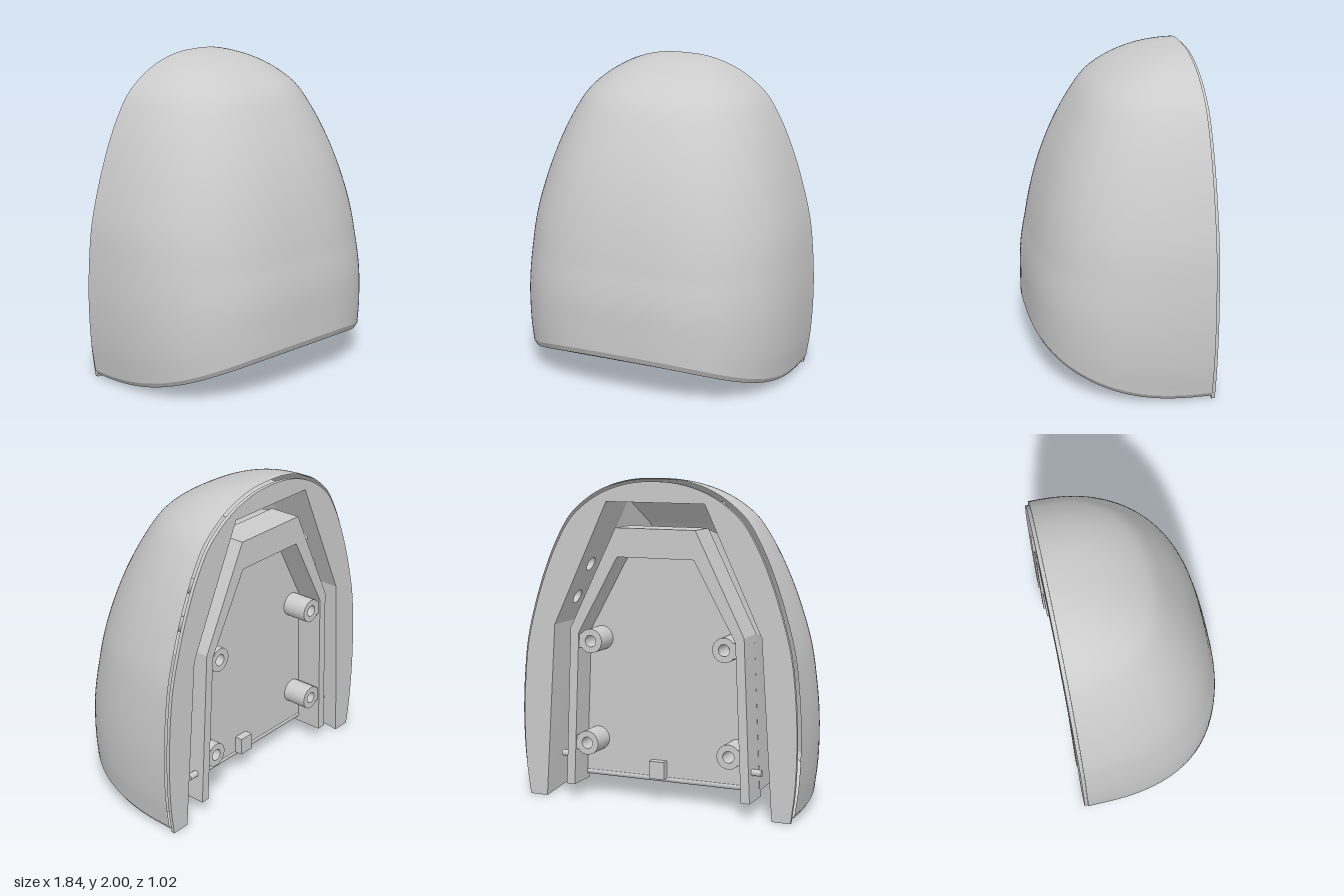
import * as THREE from 'three';

const material = new THREE.MeshStandardMaterial({ color: 0xcccccc, side: THREE.DoubleSide });
const BACK = -0.49;

// Bottom edge height, rising towards the front
const bottomY = z => 0.02 + 0.24 * Math.pow(Math.max(0, z - BACK), 2.5);

function add(parent, name, geometry, x = 0, y = 0, z = 0) {
  const mesh = new THREE.Mesh(geometry, material);
  mesh.name = name;
  mesh.position.set(x, y, z);
  parent.add(mesh);
  return mesh;
}

// Surface through rows of [x, y, z] points
function loft(rows, { flat = false, closed = false, skip = () => false } = {}) {
  const n = rows[0].length;
  const index = [];
  for (let i = 0; i < rows.length - 1; i++) {
    for (let j = 0; j < (closed ? n : n - 1); j++) {
      if (skip(i, j)) continue;
      const a = i * n + j, b = i * n + (j + 1) % n;
      index.push(a, b, b + n, a, b + n, a + n);
    }
  }
  let g = new THREE.BufferGeometry();
  g.setAttribute('position', new THREE.Float32BufferAttribute(rows.flat(2), 3));
  g.setIndex(index);
  if (flat) g = g.toNonIndexed();
  g.computeVertexNormals();
  return g;
}

// Six-point arch mirrored from bottom, middle and top half-widths
const arch = half => [...half, ...half.slice().reverse().map(([x, y]) => [-x, y])];
const shapeOf = pts => new THREE.Shape(pts.map(p => new THREE.Vector2(p[0], p[1])));
const at = (pts, z) => pts.map(([x, y]) => [x, y, z]);
const extrude = (pts, depth) =>
  new THREE.ExtrudeGeometry(shapeOf(pts), { depth, bevelEnabled: false });

// Dome profile: half-width at the back, height, front depth at the centre
const profile = new THREE.CatmullRomCurve3([
  [0.885, 0, 0.51], [0.91, 0.2, 0.51], [0.92, 0.5, 0.505], [0.905, 0.8, 0.475],
  [0.88, 1.0, 0.44], [0.83, 1.2, 0.39], [0.765, 1.4, 0.32], [0.68, 1.6, 0.225],
  [0.585, 1.76, 0.125], [0.49, 1.85, 0.02], [0.38, 1.92, -0.11], [0.25, 1.97, -0.26],
  [0.12, 1.995, -0.4], [0, 2, BACK]
].map(p => new THREE.Vector3(...p)), false, 'centripetal');

function domeRow(p, inset = 0, lift = 0.03) {
  const row = [];
  const n = THREE.MathUtils.lerp(2.9, 2.5, Math.min(1, p.y / 1.7));
  for (let k = 0; k <= 64; k++) {
    const u = Math.PI * k / 64, c = Math.cos(u), s = Math.max(0, Math.sin(u));
    const x = (p.x - inset) * Math.sign(c) * Math.pow(Math.abs(c), 2 / n);
    const z = BACK + (p.z - inset - BACK) * Math.pow(s, 2 / n);
    const base = bottomY(z) + lift;
    const y = p.y < 0.8 ? base + (0.8 - base) * p.y / 0.8 : p.y;
    row.push([x, y, z]);
  }
  return row;
}

export function createModel() {
  const model = new THREE.Group();
  model.name = 'domedHousing';

  // Outer dome
  const samples = profile.getPoints(78);
  const rows = samples.map(p => domeRow(p));
  add(model, 'outerShell', loft(rows));

  // Bevelled lower edge
  const lowRow = domeRow(samples[0], 0.02, 0);
  add(model, 'lowerBevel', loft([rows[0], lowRow]));

  // Cavity sections from the back opening to the inner front
  const opening = [[0.75, 0], [0.68, 1.09], [0.32, 1.855]];
  const sections = [
    at(arch(opening), -0.51),
    at(arch([[0.75, bottomY(-0.2)], ...opening.slice(1)]), -0.2),
    at(arch([[0.72, bottomY(0)], [0.63, 1.05], [0.27, 1.7]]), 0),
    at(arch([[0.35, bottomY(0.3)], [0.34, 0.95], [0.2, 1.35]]), 0.3)
  ];
  add(model, 'cavityWall', loft(sections, {
    flat: true, skip: (i, j) => i === 0 && (j === 1 || j === 3)
  }));
  add(model, 'cavityFront', new THREE.ShapeGeometry(shapeOf(sections[3])), 0, 0, 0.3);

  // Underside between the dome and the cavity
  const plan = lowRow.map(p => [p[0], p[2]]);
  for (const s of sections) plan.push([s[5][0], s[5][2]]);
  for (const s of sections.slice().reverse()) plan.push([s[0][0], s[0][2]]);
  const underside = new THREE.ShapeGeometry(shapeOf(plan));
  const pos = underside.attributes.position;
  for (let i = 0; i < pos.count; i++) {
    const z = pos.getY(i);
    pos.setXYZ(i, pos.getX(i), bottomY(z), z);
  }
  underside.computeVertexNormals();
  add(model, 'underside', underside);

  // Back lip, slightly inside the dome outline
  const lip = samples.map(p => [Math.max(0, p.x - 0.018), p.y * 0.99]);
  const lipOutline = [...lip, ...lip.slice(0, -1).reverse().map(([x, y]) => [-x, y]),
    ...arch(opening).reverse()];
  add(model, 'backLip', extrude(lipOutline, 0.022), 0, 0, -0.512);

  // Slanted cavity walls, each with two round pockets
  for (const side of [1, -1]) {
    const frame = new THREE.Group();
    frame.name = side > 0 ? 'leftSlantedWall' : 'rightSlantedWall';
    const dx = 0.36, dy = -0.765, length = Math.hypot(dx, dy);
    const panel = shapeOf([[0, 0], [length, 0], [length, 0.31], [0, 0.31]]);
    const slope = new THREE.Group();
    slope.position.set(0.32, 1.855, -0.51);
    slope.quaternion.setFromRotationMatrix(new THREE.Matrix4().makeBasis(
      new THREE.Vector3(dx, dy, 0).normalize(), new THREE.Vector3(0, 0, 1),
      new THREE.Vector3(dy, -dx, 0).normalize()));
    for (const t of [0.52, 0.79]) {
      panel.holes.push(new THREE.Path().absarc(t * length, 0.16, 0.045, 0, Math.PI * 2, true));
      const bore = new THREE.CylinderGeometry(0.045, 0.045, 0.1, 24, 1, true).rotateX(Math.PI / 2);
      add(slope, 'pocketWall', bore, t * length, 0.16, -0.05);
      add(slope, 'pocketEnd', new THREE.CircleGeometry(0.045, 24), t * length, 0.16, -0.1);
    }
    add(slope, 'slantedPanel', new THREE.ShapeGeometry(panel, 24));
    frame.add(slope);
    frame.scale.x = side;
    model.add(frame);
  }

  // Inner tray: raised wall, open at the bottom
  const tray = new THREE.Group();
  tray.name = 'innerTray';
  model.add(tray);
  const trayOuter = [[0.61, 0.09], [0.57, 1.08], [0.26, 1.7]];
  const trayInner = [[0.555, 0.09], [0.515, 1.05], [0.25, 1.525]];
  add(tray, 'trayWall', extrude([...arch(trayOuter), ...arch(trayInner).reverse()], 0.2), 0, 0, -0.51);

  // Tray floor block, narrowing towards the front
  const block = [
    at(arch([[0.61, 0.13], ...trayOuter.slice(1)]), -0.34),
    at(arch([[0.6, 0.13], [0.56, 1.05], [0.25, 1.65]]), -0.12),
    at(arch([[0.4, 0.14], [0.38, 0.95], [0.2, 1.35]]), 0.08)
  ];
  add(tray, 'trayFloorBlock', loft(block, { flat: true, closed: true }));
  add(tray, 'trayFloor', new THREE.ShapeGeometry(shapeOf(block[0])), 0, 0, -0.34);
  add(tray, 'trayFront', new THREE.ShapeGeometry(shapeOf(block[2])), 0, 0, 0.08);
  const edge = new THREE.CylinderGeometry(0.02, 0.02, 1.12, 16).rotateZ(Math.PI / 2);
  add(tray, 'roundedFloorEdge', edge, 0, 0.138, -0.325);

  // Screw bosses, side pins and hidden support posts
  const ring = new THREE.Shape().absarc(0, 0, 0.075, 0, Math.PI * 2, false);
  ring.holes.push(new THREE.Path().absarc(0, 0, 0.036, 0, Math.PI * 2, true));
  const boss = new THREE.ExtrudeGeometry(ring, { depth: 0.16, bevelEnabled: false, curveSegments: 24 });
  for (const side of [1, -1]) {
    for (const [x, y] of [[0.44, 1.0], [0.47, 0.36]]) {
      add(tray, 'screwBoss', boss, side * x, y, -0.5);
      add(tray, 'bossWeb', new THREE.BoxGeometry(0.08, 0.09, 0.16), side * (x + 0.085), y, -0.42);
    }
    const pin = new THREE.CylinderGeometry(0.02, 0.02, 0.07, 16).rotateZ(Math.PI / 2);
    add(tray, 'sidePin', pin, side * 0.63, 0.27, -0.45);
    const post = new THREE.CylinderGeometry(0.05, 0.05, 0.24, 20).rotateX(Math.PI / 2);
    add(tray, 'supportPost', post, side * 0.2, 0.75, 0.19);
  }

  // Small tab on the tray floor
  add(tray, 'floorTab', new THREE.BoxGeometry(0.1, 0.11, 0.06), 0.05, 0.2, -0.36);
  return model;
}
